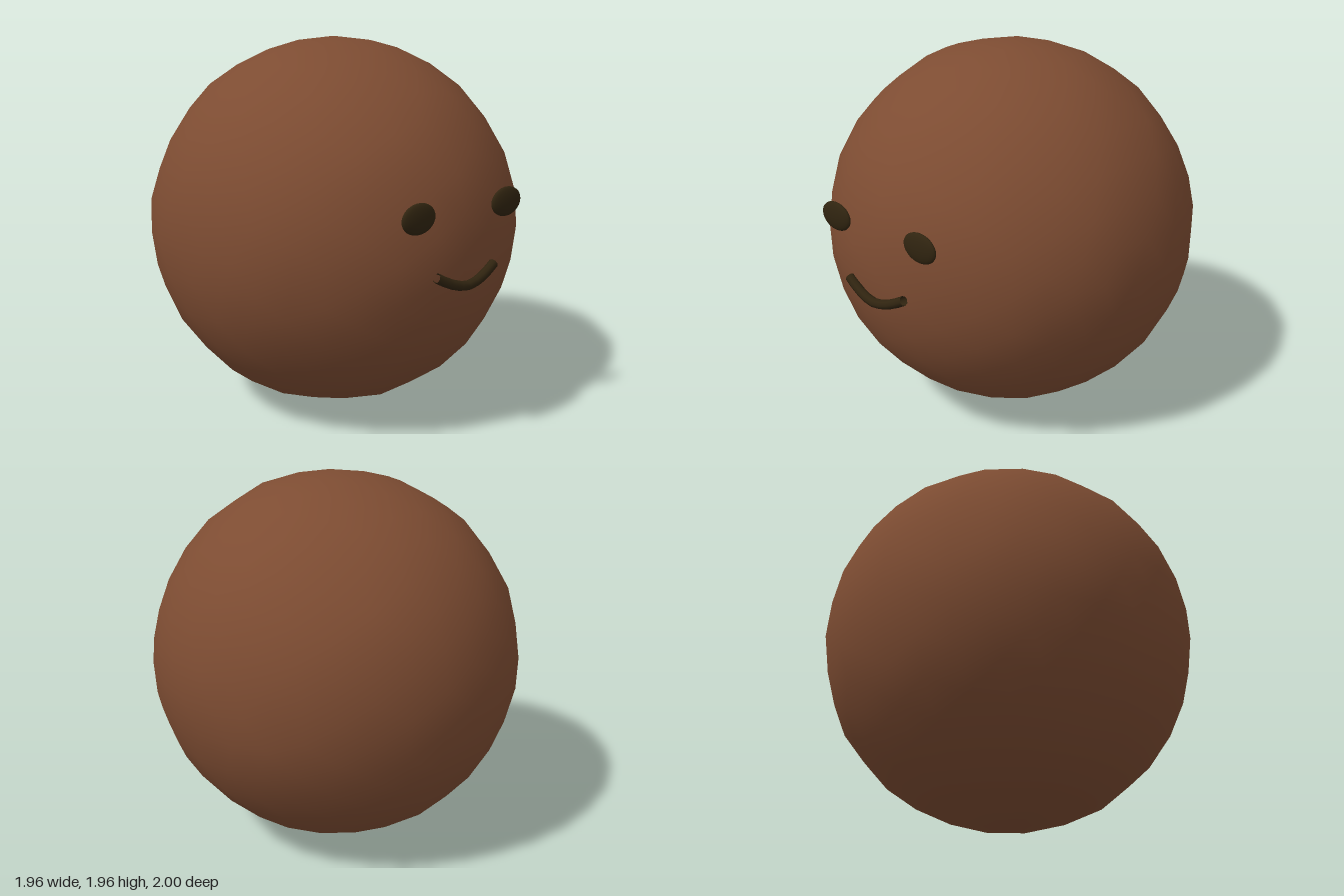
import * as THREE from 'three';
import { mergeVertices } from 'three/addons/utils/BufferGeometryUtils.js';

const material = (name, color, side = THREE.FrontSide) => {
  const m = new THREE.MeshStandardMaterial({ color, side });
  m.name = name;
  return m;
};

// Smooth ball whose vertices are nudged in and out a little
function lumpyBall(radius, detail, lump) {
  const raw = new THREE.IcosahedronGeometry(radius, detail);
  raw.deleteAttribute('uv');
  raw.deleteAttribute('normal');
  const geometry = mergeVertices(raw, 1e-4);
  const position = geometry.attributes.position;
  const v = new THREE.Vector3();
  let seed = 7;
  const random = () => (seed = (seed * 16807) % 2147483647) / 2147483647;
  for (let i = 0; i < position.count; i++) {
    v.fromBufferAttribute(position, i).multiplyScalar(1 + (random() - 0.5) * lump);
    position.setXYZ(i, v.x, v.y, v.z);
  }
  geometry.computeVertexNormals();
  return geometry;
}

export function createModel() {
  const group = new THREE.Group();
  const brown = material('brown', 0x7d4c32);
  const dark = material('dark brown', 0x302410, THREE.DoubleSide);

  const add = (name, geometry, mat, x = 0, y = 0, z = 0) => {
    const mesh = new THREE.Mesh(geometry, mat);
    mesh.name = name;
    mesh.position.set(x, y, z);
    group.add(mesh);
    return mesh;
  };

  // Round body
  add('body', lumpyBall(0.981, 5, 0.012), brown, 0, 0.985, -0.02);

  // Flattened oval eyes
  for (const [name, x] of [['rightEye', -0.29], ['leftEye', 0.3]]) {
    add(name, new THREE.SphereGeometry(1, 24, 16), dark, x, 1.2, 0.934).scale.set(0.103, 0.073, 0.024);
  }

  // Curved smile, leaning forward towards its lowest point
  const smile = new THREE.CatmullRomCurve3([
    [-0.19, 0.912, 0.957], [-0.1, 0.867, 0.968], [0.005, 0.843, 0.974],
    [0.11, 0.867, 0.968], [0.2, 0.912, 0.957],
  ].map((p) => new THREE.Vector3(...p)));
  add('mouth', new THREE.TubeGeometry(smile, 8, 0.024, 8), dark);

  return group;
}
